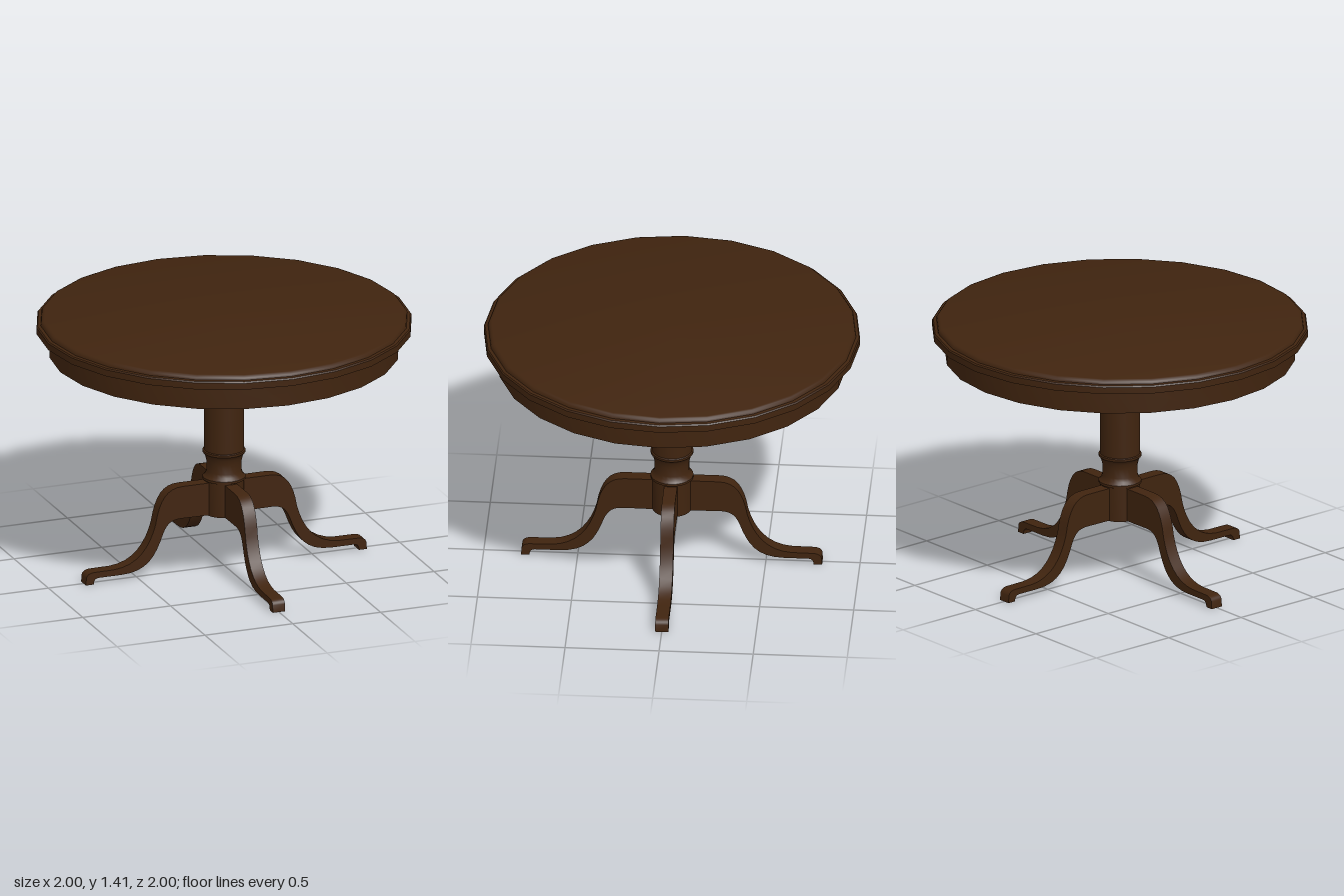
import * as THREE from 'three';
import { toCreasedNormals } from 'three/addons/utils/BufferGeometryUtils.js';

const SIDES = 24;
const LEG_WIDTH = 0.07;

// Turned part from [radius, height] pairs, listed bottom to top
function turned(name, profile, material) {
  const points = profile.map(([r, y]) => new THREE.Vector2(r, y));
  const geometry = toCreasedNormals(new THREE.LatheGeometry(points, SIDES), 0.6);
  const mesh = new THREE.Mesh(geometry, material);
  mesh.name = name;
  return mesh;
}

// Side outline of a leg running out along +x
function legGeometry() {
  const s = new THREE.Shape();
  s.moveTo(0.04, 0.305);
  s.lineTo(0.257, 0.307);
  // underside, down to the foot
  s.bezierCurveTo(0.31, 0.307, 0.337, 0.29, 0.36, 0.235);
  s.bezierCurveTo(0.405, 0.11, 0.45, 0.034, 0.6, 0.034);
  s.lineTo(0.725, 0.034);
  s.quadraticCurveTo(0.755, 0.034, 0.755, 0);
  s.lineTo(0.8, 0);
  // toe and upper side, back to the column
  s.lineTo(0.797, 0.04);
  s.quadraticCurveTo(0.79, 0.067, 0.75, 0.067);
  s.lineTo(0.64, 0.068);
  s.bezierCurveTo(0.5, 0.075, 0.435, 0.175, 0.403, 0.29);
  s.bezierCurveTo(0.38, 0.43, 0.335, 0.486, 0.25, 0.486);
  s.lineTo(0.04, 0.486);
  const geometry = new THREE.ExtrudeGeometry(s, {
    depth: LEG_WIDTH, bevelEnabled: false, curveSegments: 8,
  });
  geometry.translate(0, 0, -LEG_WIDTH / 2);
  return toCreasedNormals(geometry, 0.6);
}

export function createModel() {
  const wood = new THREE.MeshStandardMaterial({ color: 0x40240f });
  wood.name = 'darkWood';

  const table = new THREE.Group();
  table.name = 'pedestalTable';

  // Round top with a stepped, rounded rim
  table.add(turned('tableTop', [
    [0, 1.338], [1, 1.338], [1, 1.374], [0.994, 1.381], [0.978, 1.384],
    [0.975, 1.395], [0.968, 1.403], [0.957, 1.407], [0, 1.407],
  ], wood));

  // Apron under the top
  table.add(turned('apron', [
    [0, 1.205], [0.932, 1.205], [0.932, 1.34],
  ], wood));

  // Column with a narrow neck between two rings
  table.add(turned('column', [
    [0, 0.302], [0.107, 0.302], [0.107, 0.49],
    [0.114, 0.493], [0.114, 0.506], [0.107, 0.512], [0.1, 0.522],
    [0.094, 0.54], [0.094, 0.595], [0.1, 0.62], [0.107, 0.636],
    [0.114, 0.642], [0.114, 0.654], [0.107, 0.658], [0.107, 1.21],
  ], wood));

  // Four curved legs
  const geometry = legGeometry();
  for (let i = 0; i < 4; i++) {
    const leg = new THREE.Mesh(geometry, wood);
    leg.name = 'leg' + (i + 1);
    leg.rotation.y = i * Math.PI / 2;
    table.add(leg);
  }
  return table;
}
